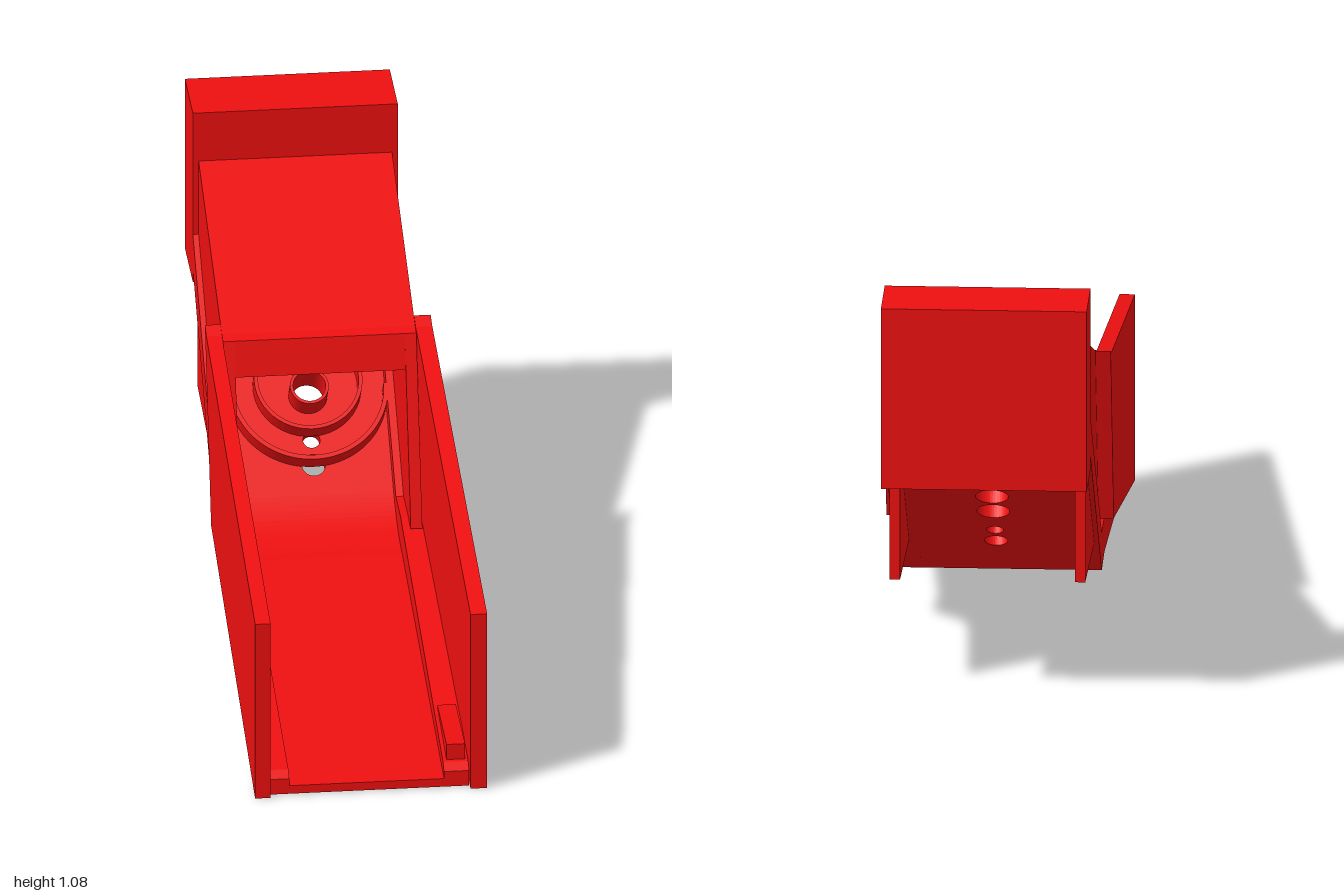
import * as THREE from 'three';

const material = new THREE.MeshStandardMaterial({ color: 0xee1010, side: THREE.DoubleSide });

// Extrude a side profile of [z, y] points between two x positions
function slab(name, profile, x0, x1) {
  const shape = profile instanceof THREE.Shape
    ? profile : new THREE.Shape(profile.map(([z, y]) => new THREE.Vector2(z, y)));
  const geo = new THREE.ExtrudeGeometry(shape, { depth: x1 - x0, bevelEnabled: false, curveSegments: 16 });
  geo.rotateY(-Math.PI / 2).translate(x1, 0, 0);
  const mesh = new THREE.Mesh(geo, material);
  mesh.name = name;
  return mesh;
}

function box(name, x0, x1, y0, y1, z0, z1) {
  const mesh = new THREE.Mesh(new THREE.BoxGeometry(x1 - x0, y1 - y0, z1 - z0), material);
  mesh.position.set((x0 + x1) / 2, (y0 + y1) / 2, (z0 + z1) / 2);
  mesh.name = name;
  return mesh;
}

// Upright ring standing on the ramp plate
function ring(name, x, s, outer, inner, height, base) {
  const shape = new THREE.Shape().absarc(0, 0, outer, 0, Math.PI * 2);
  shape.holes.push(new THREE.Path().absarc(0, 0, inner, 0, Math.PI * 2, true));
  const geo = new THREE.ExtrudeGeometry(shape, { depth: height, bevelEnabled: false, curveSegments: 24 });
  const mesh = new THREE.Mesh(geo, material);
  mesh.position.set(x, s, base);
  mesh.name = name;
  return mesh;
}

export function createModel() {
  const model = new THREE.Group();
  const cx = -0.01;

  // Tall chute walls; the left one leans slightly inward towards the back
  const wall = [[1, 0], [1, 0.5], [-0.22, 0.725], [-0.255, 0.74], [-0.1, 0.24], [-0.05, 0.23]];
  const leftWall = slab('leftWall', wall, 0.257, 0.3);
  const pos = leftWall.geometry.attributes.position;
  for (let i = 0; i < pos.count; i++) pos.setX(i, pos.getX(i) - (1 - pos.getZ(i)) * 0.013);
  leftWall.geometry.computeVertexNormals();
  model.add(leftWall, slab('rightWall', wall, -0.3, -0.26));

  // Tray sides running under the walls and up the ramp
  const rail = [[0.985, 0.002], [0.66, 0.05], [-0.08, 0.145], [-0.22, 0.138], [-0.8, 0.63],
    [-0.8, 0.73], [-0.22, 0.24], [-0.1, 0.24], [-0.05, 0.23], [0.96, 0.06], [0.985, 0.045]];
  model.add(slab('rightRail', rail, -0.275, -0.21), slab('leftRail', rail, 0.19, 0.255));

  // Thin floor curving up into the ramp
  const floor = new THREE.Shape();
  floor.moveTo(0.985, 0.002);
  floor.lineTo(0.66, 0.05);
  floor.lineTo(-0.08, 0.145);
  floor.lineTo(-0.22, 0.138);
  floor.lineTo(-0.296, 0.203);
  floor.lineTo(-0.277, 0.226);
  floor.quadraticCurveTo(-0.18, 0.155, -0.06, 0.155);
  floor.lineTo(0.985, 0.025);
  model.add(slab('floor', floor, -0.212, 0.192));

  // Rear shell: two sides and a thick sloping roof
  const side = [[-0.04, 0.235], [-0.19, 0.722], [-0.22, 0.728], [-0.8, 0.94], [-0.8, 0.71], [-0.22, 0.22]];
  const roof = [[-0.19, 0.722], [-0.22, 0.728], [-0.8, 0.94], [-0.8, 0.84], [-0.21, 0.63], [-0.165, 0.63]];
  model.add(slab('rightShellSide', side, -0.26, -0.23), slab('leftShellSide', side, 0.21, 0.24));
  model.add(slab('roof', roof, -0.245, 0.225));

  // Fins below the ramp
  const fin = [[-0.33, 0.235], [-0.35, 0.252], [-0.812, 0.29], [-0.812, 0.62], [-0.8, 0.64]];
  model.add(slab('rightFin', fin, -0.262, -0.235), slab('leftFin', fin, 0.215, 0.242));

  // End block and small latch by the mouth
  model.add(box('endBlock', -0.275, 0.255, 0.593, 1.078, -1, -0.8));
  model.add(box('latch', 0.2, 0.248, 0.06, 0.105, 0.72, 0.95));

  // Perforated ramp plate, drawn flat and tilted as a group
  const ramp = new THREE.Group();
  ramp.name = 'ramp';
  const tilt = Math.atan2(0.492, 0.58), length = 0.76, thick = 0.03;
  ramp.position.set(cx, 0.138, -0.22);
  ramp.rotation.x = tilt - Math.PI / 2;
  const centrePosts = [0.379, 0.475, 0.572].map(s => [0, s, 0.05, 0.042, 0.065]);
  const cornerPosts = [-0.158, 0.152].map(x => [x, 0.684, 0.042, 0.028, 0.035]);
  const posts = [...centrePosts, ...cornerPosts];
  const plate = new THREE.Shape([[-0.203, 0.09], [0.203, 0.09], [0.203, length], [-0.203, length]]
    .map(([x, s]) => new THREE.Vector2(x, s)));
  const holes = [...posts.map(([x, s, , r]) => [x, s, r]), [0, 0.185, 0.03], [0, 0.255, 0.022]];
  for (const [x, s, r] of holes) plate.holes.push(new THREE.Path().absarc(x, s, r, 0, Math.PI * 2, true));
  const plateMesh = new THREE.Mesh(
    new THREE.ExtrudeGeometry(plate, { depth: thick, bevelEnabled: false, curveSegments: 20 }), material);
  plateMesh.name = 'rampPlate';
  ramp.add(plateMesh);

  // Hollow posts, round collar and half-round guard
  for (const [x, s, outer, inner, h] of posts) ramp.add(ring('hollowPost', x, s, outer, inner, h, thick));
  ramp.add(ring('collar', 0, 0.405, 0.14, 0.13, 0.05, thick));
  const arc = new THREE.Shape().absarc(0, 0, 0.205, Math.PI, Math.PI * 2);
  arc.absarc(0, 0, 0.193, Math.PI * 2, Math.PI, true);
  const guard = new THREE.Mesh(
    new THREE.ExtrudeGeometry(arc, { depth: 0.05, bevelEnabled: false, curveSegments: 32 }), material);
  guard.position.set(0, 0.385, thick);
  guard.name = 'halfRoundGuard';
  ramp.add(guard);
  model.add(ramp);

  return model;
}
